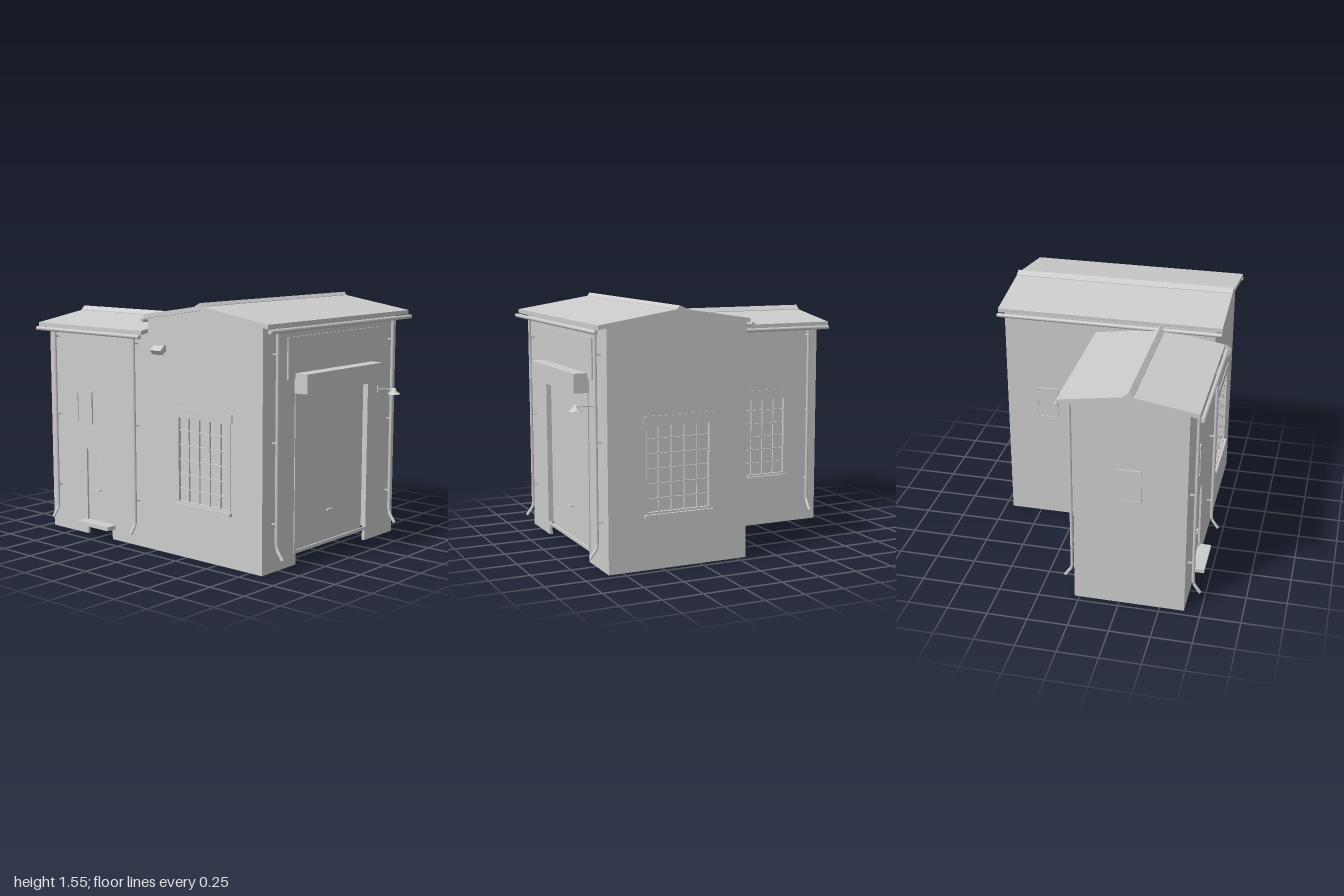
import * as THREE from 'three';

const grey = new THREE.MeshStandardMaterial({ color: 0xcccccc, side: THREE.DoubleSide });
grey.name = 'light grey';

function add(parent, name, geo, x = 0, y = 0, z = 0) {
  const m = new THREE.Mesh(geo, grey);
  m.name = name;
  m.position.set(x, y, z);
  parent.add(m);
  return m;
}

// Box given by its limits on each axis
const box = (p, name, x0, x1, y0, y1, z0, z1) =>
  add(p, name, new THREE.BoxGeometry(x1 - x0, y1 - y0, z1 - z0), (x0 + x1) / 2, (y0 + y1) / 2, (z0 + z1) / 2);

// Extruded outline with rectangular holes [x0, x1, y0, y1], from z0 to z1
function slab(p, name, pts, z0, z1, holes = []) {
  const s = new THREE.Shape(pts.map(([x, y]) => new THREE.Vector2(x, y)));
  for (const [a, b, c, d] of holes)
    s.holes.push(new THREE.Path([[a, c], [a, d], [b, d], [b, c]].map(([x, y]) => new THREE.Vector2(x, y))));
  return add(p, name, new THREE.ExtrudeGeometry(s, { depth: z1 - z0, bevelEnabled: false }), 0, 0, z0);
}

const rect = (a, b, c, d) => [[a, c], [b, c], [b, d], [a, d]];

// Rectangular frame of bar width w
const frame = (p, name, a, b, c, d, w, z0, z1) =>
  slab(p, name, rect(a, b, c, d), z0, z1, [[a + w, b - w, c + w, d - w]]);

// Wall-side group: local z = 0 is the outer wall face, +z points outward
function side(root, name, turn, x, z) {
  const g = new THREE.Group();
  g.name = name;
  g.rotation.y = turn;
  g.position.set(x, 0, z);
  root.add(g);
  return g;
}

const WIN = { y0: 0.335, y1: 0.87, half: 0.21 };
const winHole = (c) => [c - WIN.half, c + WIN.half, WIN.y0, WIN.y1];

function gridWindow(p, c) {
  const g = new THREE.Group();
  g.name = 'window';
  p.add(g);
  const [a, b, y0, y1] = winHole(c);
  frame(g, 'windowFrame', a, b, y0, y1, 0.012, -0.02, 0.004);
  box(g, 'windowPane', a, b, y0, y1, -0.02, -0.016);
  for (let i = 1; i < 5; i++) {
    const x = a + (b - a) * i / 5;
    box(g, 'uprightBar', x - 0.004, x + 0.004, y0, y1, -0.016, -0.004);
  }
  for (let i = 1; i < 6; i++) {
    const y = y0 + (y1 - y0) * i / 6;
    box(g, 'crossBar', a, b, y - 0.004, y + 0.004, -0.016, -0.005);
  }
  box(g, 'windowSill', a - 0.012, b + 0.012, y0 - 0.02, y0, -0.01, 0.02);
  box(g, 'windowHead', a - 0.015, b + 0.015, y1, y1 + 0.05, 0, 0.006);
}

// Framed notice board on a wall
function board(p, c) {
  box(p, 'boardPanel', c - 0.07, c + 0.07, 0.73, 0.94, 0, 0.005);
  frame(p, 'boardFrame', c - 0.07, c + 0.07, 0.73, 0.94, 0.008, 0, 0.01);
}

// Downspout with kicked-out foot and wall brackets
function spout(p, x, top, out) {
  const path = new THREE.CurvePath();
  const v = [[top, out], [0.15, out], [0.088, out + 0.045]].map(([y, z]) => new THREE.Vector3(x, y, z));
  path.add(new THREE.LineCurve3(v[0], v[1]));
  path.add(new THREE.LineCurve3(v[1], v[2]));
  add(p, 'downspout', new THREE.TubeGeometry(path, 40, 0.01, 8));
  for (const y of [0.295, 0.77, 1.28])
    box(p, 'pipeBracket', x - 0.004, x + 0.004, y - 0.004, y + 0.004, 0, out);
}

function gutter(p, x0, x1, y, z) {
  add(p, 'gutter', new THREE.CylinderGeometry(0.013, 0.013, x1 - x0, 10), (x0 + x1) / 2, y, z).rotation.z = Math.PI / 2;
}

// Pitched roof sheet with a raised ridge cap
function roof(p, name, eaveA, ridge, eaveB, cap, z0, z1) {
  const t = 0.026, top = [eaveA, ridge, eaveB];
  slab(p, name, [...top, ...top.map(([x, y]) => [x, y - t]).reverse()], z0, z1);
  slab(p, 'ridgeCap', cap, z0, z1);
}

export function createModel() {
  const root = new THREE.Group();
  root.name = 'workshopBuilding';
  const T = 0.02, H = Math.PI / 2;

  const front = side(root, 'frontSide', 0, 0, 0.65);
  const back = side(root, 'mainBackSide', Math.PI, 0, -0.7);
  const annexBack = side(root, 'annexBackSide', Math.PI, 0, -0.03);
  const right = side(root, 'bigDoorSide', H, 0.84, 0);
  const inner = side(root, 'mainInnerSide', -H, -0.06, 0);
  const annexEnd = side(root, 'annexEndSide', -H, -0.96, 0);

  // Walls
  slab(front, 'frontWall', [[-0.96, 0], [-0.628, 0], [-0.628, 0.565], [-0.398, 0.565], [-0.398, 0], [0.84, 0],
    [0.84, 1.445], [0.398, 1.513], [-0.06, 1.445], [-0.06, 1.352], [-0.96, 1.352]], -T, 0, [winHole(0.39)]);
  slab(back, 'mainBackWall', [[-0.84, 0], [0.06, 0], [0.06, 1.445], [-0.398, 1.513], [-0.84, 1.445]], -T, 0, [winHole(-0.39)]);
  slab(annexBack, 'annexBackWall', rect(0.06, 0.96, 0, 1.352), -T, 0, [winHole(0.51)]);
  slab(right, 'bigDoorWall', [[-0.65, 0], [-0.335, 0], [-0.335, 1.1], [0.388, 1.1], [0.388, 0], [0.7, 0],
    [0.7, 1.445], [-0.65, 1.445]], -T, 0);
  slab(inner, 'mainInnerWall', rect(-0.7, 0.65, 0, 1.445), -T, 0);
  slab(annexEnd, 'annexEndWall', [[-0.03, 0], [0.65, 0], [0.65, 1.352], [0.31, 1.405], [-0.03, 1.352]], -T, 0);

  // Windows and boards
  gridWindow(front, 0.39);
  gridWindow(back, -0.39);
  gridWindow(annexBack, 0.51);
  board(front, -0.633);
  board(inner, -0.43);
  board(annexEnd, 0.31);

  // Small front door with step
  box(front, 'frontDoor', -0.628, -0.398, 0.07, 0.565, -T, -0.012);
  box(front, 'doorHandle', -0.59, -0.51, 0.295, 0.303, -0.012, 0.006);
  box(front, 'letterSlot', -0.545, -0.48, 0.49, 0.495, -0.012, -0.007);
  box(front, 'doorStep', -0.65, -0.37, 0.07, 0.095, -T, 0.07);

  // Big shutter door with roller box and upper panel
  slab(right, 'shutterFrame', rect(-0.355, 0.41, 0.07, 1.06), -0.004, 0.006, [[-0.335, 0.388, 0.09, 1.03]]);
  box(right, 'shutterBack', -0.335, 0.388, 0.07, 1.1, -0.04, -0.03);
  box(right, 'shutterDoor', -0.322, 0.376, 0.09, 1.02, -0.03, -0.022);
  box(right, 'shutterHandle', 0, 0.05, 0.265, 0.274, -0.022, -0.008);
  box(right, 'rollerBox', -0.36, 0.415, 1.035, 1.152, 0, 0.095);
  box(right, 'upperPanel', -0.43, 0.485, 1.12, 1.365, 0, 0.009);

  // Roofs
  roof(root, 'mainRoof', [-0.056, 1.467], [0.398, 1.537], [0.906, 1.458],
    [[0.36, 1.525], [0.42, 1.525], [0.42, 1.536], [0.402, 1.555], [0.36, 1.535]], -0.745, 0.69);
  const annexRoof = side(root, 'annexRoofGroup', -H, 0, 0);
  roof(annexRoof, 'annexRoof', [-0.107, 1.367], [0.31, 1.43], [0.71, 1.367],
    [[0.275, 1.415], [0.335, 1.415], [0.335, 1.43], [0.308, 1.455], [0.275, 1.428]], 0.06, 1.0);

  // Gutters and downspouts
  gutter(right, -0.69, 0.745, 1.418, 0.08);
  gutter(inner, -0.745, 0.69, 1.43, 0.015);
  gutter(front, -1, -0.06, 1.33, 0.075);
  gutter(annexBack, 0.06, 1, 1.33, 0.08);
  for (const x of [-0.562, 0.611]) spout(right, x, 1.435, 0.035);
  for (const x of [-0.874, -0.152]) {
    spout(front, x, 1.35, 0.036);
    spout(annexBack, -x, 1.35, 0.036);
  }

  // Tilted floodlight on the front gable
  box(front, 'floodlightMount', 0.06, 0.09, 1.245, 1.285, 0, 0.02);
  box(front, 'floodlightArm', 0.07, 0.08, 1.26, 1.27, 0.01, 0.05);
  box(front, 'floodlight', 0.032, 0.118, 1.243, 1.277, 0.03, 0.075).rotation.x = 0.7;

  // Shaded lamp beside the big door
  const lamp = new THREE.Group();
  lamp.name = 'wallLamp';
  lamp.position.set(0.51, 0, 0);
  right.add(lamp);
  box(lamp, 'lampPlate', -0.012, 0.012, 0.945, 0.985, 0, 0.008);
  const arm = new THREE.CatmullRomCurve3([[0.965, 0], [0.972, 0.06], [0.97, 0.12]].map(([y, z]) => new THREE.Vector3(0, y, z)));
  add(lamp, 'lampArm', new THREE.TubeGeometry(arm, 10, 0.004, 6));
  add(lamp, 'lampShade', new THREE.LatheGeometry(
    [[0.04, 0.945], [0.038, 0.95], [0.014, 0.967], [0.014, 0.982], [0, 0.983]].map(([r, y]) => new THREE.Vector2(r, y)), 20), 0, 0, 0.12);
  add(lamp, 'lampBulb', new THREE.SphereGeometry(0.012, 12, 8), 0, 0.948, 0.12);

  return root;
}
